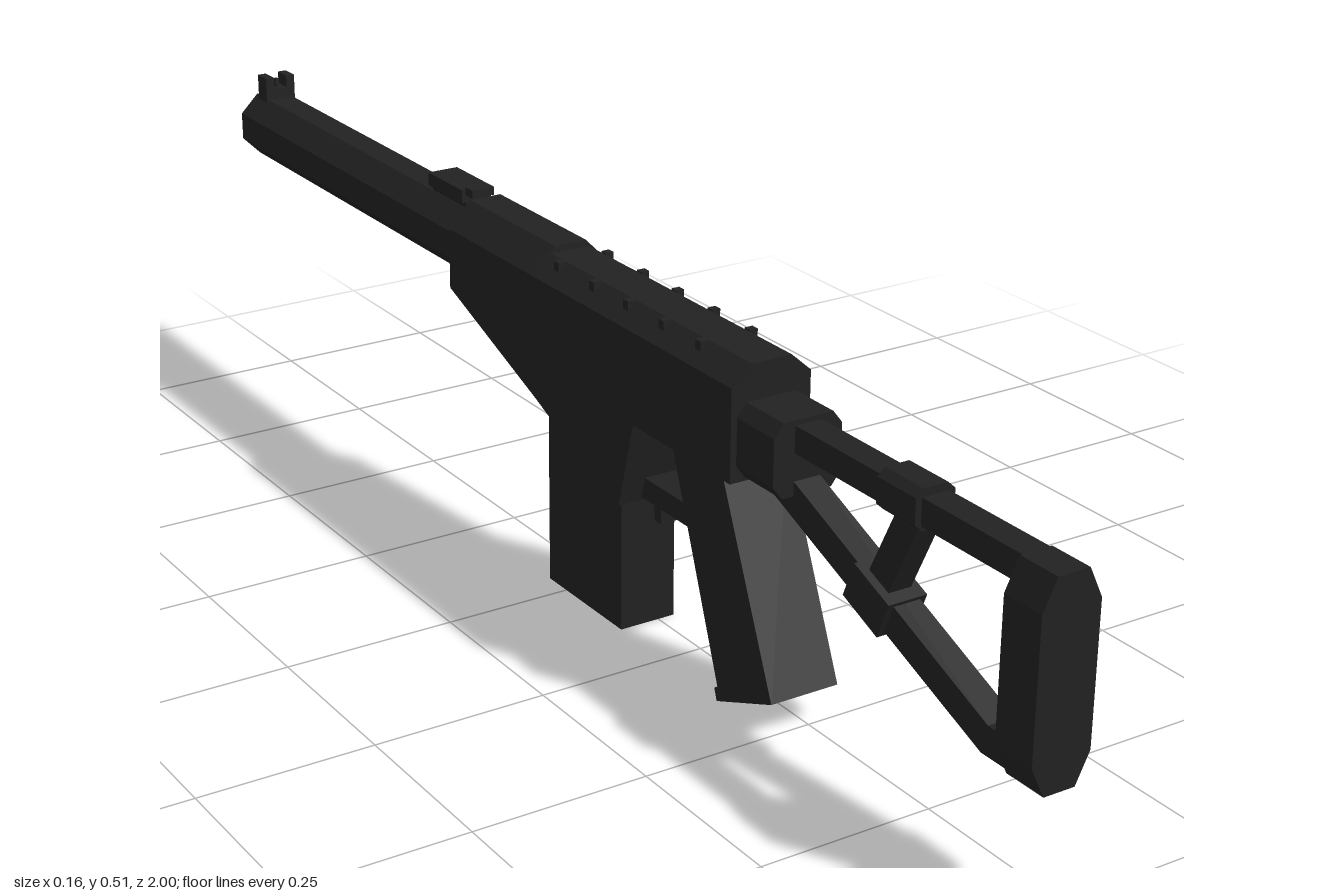
import * as THREE from 'three';

const CX = -0.018; // centre plane of the body

export function createModel() {
  const model = new THREE.Group();
  const black = new THREE.MeshStandardMaterial({ color: 0x222222 });
  black.name = 'matteBlack';

  const add = (name, geometry) => {
    const mesh = new THREE.Mesh(geometry, black);
    mesh.name = name;
    model.add(mesh);
    return mesh;
  };
  const outline = (pts) => new THREE.Shape(pts.map(([a, b]) => new THREE.Vector2(a, b)));

  // Side profile in (z, y), given a width across x
  const side = (name, pts, width, x = CX) => {
    const g = new THREE.ExtrudeGeometry(outline(pts), { depth: width, bevelEnabled: false });
    g.translate(0, 0, -width / 2);
    g.rotateY(-Math.PI / 2);
    g.translate(x, 0, 0);
    return add(name, g);
  };
  // Cross-section in (x from the centre plane, y), run from z0 to z1
  const section = (name, pts, z0, z1, hole) => {
    const shape = outline(pts);
    if (hole) shape.holes.push(new THREE.Path(hole.map(([a, b]) => new THREE.Vector2(a, b))));
    const g = new THREE.ExtrudeGeometry(shape, { depth: z1 - z0, bevelEnabled: false });
    g.translate(CX, 0, z0);
    return add(name, g);
  };
  const box = (name, x0, x1, y0, y1, z0, z1) => {
    const g = new THREE.BoxGeometry(x1 - x0, y1 - y0, z1 - z0);
    g.translate((x0 + x1) / 2, (y0 + y1) / 2, (z0 + z1) / 2);
    return add(name, g);
  };
  // Rectangle with cut corners
  const chamfered = (hw, y0, y1, cx, cy) => [
    [-hw, y0 + cy], [-hw + cx, y0], [hw - cx, y0], [hw, y0 + cy],
    [hw, y1 - cy], [hw - cx, y1], [-hw + cx, y1], [-hw, y1 - cy],
  ];
  const roof = (hw, top, y0, y1, y2) => [
    [-hw, y0], [hw, y0], [hw, y1], [top, y2], [-top, y2], [-hw, y1],
  ];

  // Receiver with its tapering magazine well, then the chamfered covers
  side('receiver', [
    [0.425, 0.33], [0.425, 0.44], [-0.29, 0.44], [-0.29, 0.37],
    [-0.05, 0.28], [0.145, 0.2], [0.165, 0.2], [0.2, 0.33],
  ], 0.121);
  section('receiverCover', roof(0.0605, 0.03, 0.44, 0.46, 0.487), -0.055, 0.425);
  section('handguardCover', roof(0.0605, 0.025, 0.44, 0.46, 0.497), -0.29, -0.055);

  // Cover studs along both chamfers
  for (const z of [0.325, 0.24, 0.155, 0.07, -0.02]) {
    for (const s of [-1, 1]) {
      const x = CX + s * 0.038;
      box('coverStud', x - 0.006, x + 0.006, 0.462, 0.488, z - 0.006, z + 0.006);
    }
  }
  box('chargingHandle', 0.03, 0.077, 0.422, 0.444, -0.045, -0.033);

  // Hollow octagonal barrel shroud with an inner stop
  section('barrel', chamfered(0.05, 0.378, 0.478, 0.029, 0.029), -1, -0.28,
    chamfered(0.037, 0.391, 0.465, 0.021, 0.021));
  section('barrelCore', chamfered(0.04, 0.388, 0.468, 0.022, 0.022), -0.9, -0.28);

  // Sights
  box('frontSightBase', CX - 0.025, CX + 0.025, 0.47, 0.495, -0.985, -0.955);
  for (const s of [-1, 1]) {
    const x = CX + s * 0.018;
    box('frontSightEar', x - 0.007, x + 0.007, 0.493, 0.514, -0.985, -0.955);
  }
  box('frontSightPost', CX - 0.003, CX + 0.003, 0.493, 0.508, -0.974, -0.966);
  box('rearSightBase', CX - 0.02, CX + 0.02, 0.472, 0.487, -0.41, -0.31);
  box('rearSightLeaf', CX - 0.024, CX + 0.024, 0.484, 0.504, -0.415, -0.315);
  box('rearSightNotch', CX - 0.018, CX + 0.018, 0.496, 0.508, -0.315, -0.295);

  // Magazine and its release
  box('magazine', CX - 0.043, CX + 0.043, 0, 0.3, -0.045, 0.145);
  box('magazineRelease', CX - 0.015, CX + 0.015, 0.175, 0.23, 0.184, 0.2);

  // Grip, trigger and guard
  side('grip', [[0.39, 0.345], [0.514, 0.055], [0.4, 0.008], [0.275, 0.345]], 0.104);
  side('gripLip', [[0.412, 0.035], [0.418, 0.016], [0.392, 0.005], [0.386, 0.022]], 0.104);
  box('trigger', CX - 0.01, CX + 0.01, 0.25, 0.335, 0.257, 0.279);
  box('triggerGuard', CX - 0.025, CX + 0.025, 0.205, 0.236, 0.16, 0.34);

  // Rear block and skeleton stock
  section('stockMount', chamfered(0.0515, 0.335, 0.437, 0.014, 0.018), 0.42, 0.505);
  box('stockTopTube', CX - 0.02, CX + 0.02, 0.393, 0.43, 0.43, 0.95);
  side('stockLowerStrut', [
    [0.43, 0.335], [0.885, 0.155], [0.945, 0.155], [0.945, 0.195],
    [0.895, 0.195], [0.497, 0.358], [0.43, 0.385],
  ], 0.04);
  section('buttPlate', chamfered(0.043, 0.153, 0.43, 0.02, 0.042), 0.935, 1);
  section('upperClamp', chamfered(0.029, 0.386, 0.441, 0.011, 0.01), 0.682, 0.756);
  const lowerClamp = add('lowerClamp', new THREE.BoxGeometry(0.058, 0.055, 0.075));
  lowerClamp.position.set(CX, 0.263, 0.669);
  lowerClamp.rotation.x = 0.38;
  side('clampLink', [[0.752, 0.395], [0.69, 0.265], [0.648, 0.275], [0.707, 0.395]], 0.034);

  return model;
}
